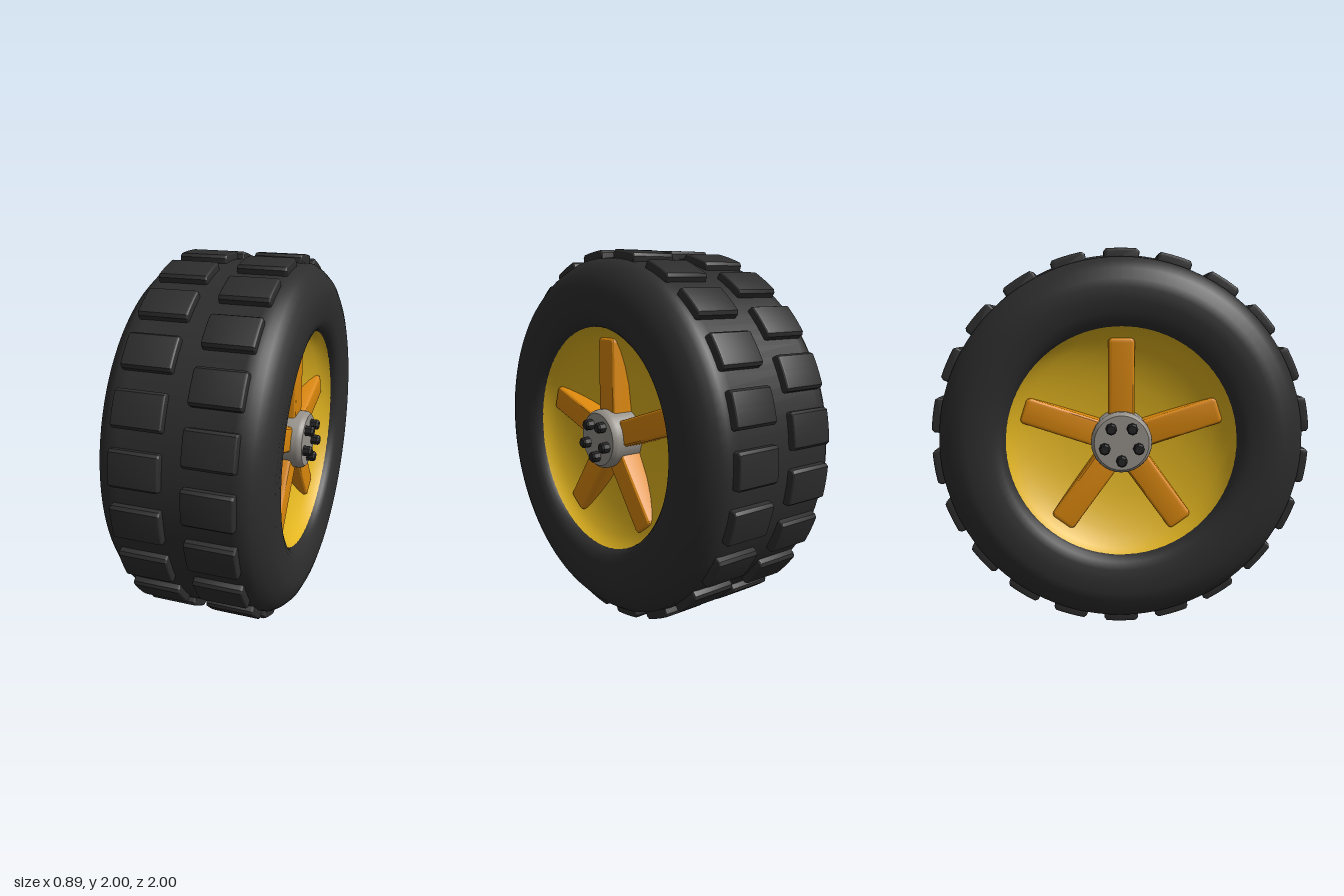
import * as THREE from 'three';
import { toCreasedNormals } from 'three/addons/utils/BufferGeometryUtils.js';

function makeMaterial(name, color) {
  const m = new THREE.MeshStandardMaterial({ color });
  m.name = name;
  return m;
}

const rubber = makeMaterial('black rubber', 0x2d2d2d);
const yellow = makeMaterial('yellow rim', 0xe2b520);
const orange = makeMaterial('orange spoke', 0xda870c);
const grey = makeMaterial('grey hub', 0x959089);
const dark = makeMaterial('dark bolt', 0x232323);

function addMesh(parent, geometry, material, name) {
  const mesh = new THREE.Mesh(geometry, material);
  mesh.name = name;
  parent.add(mesh);
  return mesh;
}

// Turned shape around the x axle; points are [radius, x]
function turned(points, segments) {
  const g = new THREE.LatheGeometry(points.map(p => new THREE.Vector2(p[0], p[1])), segments);
  return g.rotateZ(-Math.PI / 2);
}

// Extrusion with softened edges, centred along the depth
function softExtrude(shape, length, bevel) {
  const g = new THREE.ExtrudeGeometry(shape, {
    depth: length - 2 * bevel, bevelEnabled: true, bevelSize: bevel, bevelThickness: bevel,
    bevelOffset: -bevel, bevelSegments: 3, curveSegments: 8,
  });
  return toCreasedNormals(g.translate(0, 0, bevel - length / 2), 0.4).rotateY(Math.PI / 2);
}

// Tread block: a curved slab that follows the tire, with chamfered ends
function treadGeometry() {
  const mid = Math.PI / 2, a = 0.094, top = 1, shoulder = 0.986;
  const at = (r, t) => [r * Math.cos(mid + t), r * Math.sin(mid + t)];
  const shape = new THREE.Shape();
  shape.moveTo(...at(0.93, -a - 0.004));
  shape.lineTo(...at(shoulder, -a));
  shape.absarc(0, 0, top, mid - a + 0.014, mid + a - 0.014, false);
  shape.lineTo(...at(shoulder, a));
  shape.lineTo(...at(0.93, a + 0.004));
  shape.closePath();
  return softExtrude(shape, 0.26, 0.014);
}

// Spoke: a rounded bar pointing up, its back sunk into the dish
function spokeGeometry() {
  const w = 0.07, tip = 0.542, r = 0.024;
  const shape = new THREE.Shape();
  shape.moveTo(-w, 0.06);
  shape.lineTo(w, 0.06);
  shape.lineTo(w, tip - r);
  shape.absarc(w - r, tip - r, r, 0, Math.PI / 2, false);
  shape.absarc(r - w, tip - r, r, Math.PI / 2, Math.PI, false);
  shape.closePath();
  return softExtrude(shape, 0.14, 0.02).translate(0.262, 0, 0);
}

export function createModel() {
  const wheel = new THREE.Group();
  wheel.name = 'wheel';
  const assembly = new THREE.Group();
  assembly.name = 'wheelAssembly';
  assembly.position.y = 1;
  wheel.add(assembly);

  // Tire carcass, mirrored profile from lip to lip
  const half = [[0.6, 0.37], [0.608, 0.395], [0.63, 0.418], [0.67, 0.434], [0.73, 0.442],
    [0.795, 0.445], [0.84, 0.432], [0.893, 0.407], [0.93, 0.37], [0.953, 0.335], [0.96, 0.28]];
  const profile = [...half.map(([r, x]) => [r, -x]), ...half.slice().reverse()];
  addMesh(assembly, turned(profile, 96), rubber, 'tire');

  // Two staggered rows of tread blocks
  const count = 22;
  const treadGeo = treadGeometry();
  for (const side of [1, -1]) {
    for (let i = 0; i < count; i++) {
      const tread = addMesh(assembly, treadGeo, rubber, 'treadBlock');
      tread.position.x = side * 0.182;
      tread.rotation.x = (i + (side > 0 ? 0.5 : 0)) * Math.PI * 2 / count;
    }
  }

  const dishGeo = turned([[0.602, 0.375], [0.58, 0.343], [0.54, 0.313], [0.48, 0.282],
    [0.4, 0.254], [0.3, 0.23], [0.15, 0.212], [0, 0.206]], 72);
  const hubGeo = toCreasedNormals(turned([[0.16, 0.19], [0.16, 0.36], [0.156, 0.375],
    [0.143, 0.39], [0, 0.39]], 32), 0.6);
  const spokeGeo = spokeGeometry();
  const boltGeo = toCreasedNormals(turned([[0.03, 0.38], [0.03, 0.425], [0.022, 0.435], [0, 0.435]], 8), 0.6);

  // Both faces of the wheel carry the same rim
  for (const turn of [0, Math.PI]) {
    const face = new THREE.Group();
    face.name = turn ? 'rightRim' : 'leftRim';
    face.rotation.y = turn;
    assembly.add(face);
    addMesh(face, dishGeo, yellow, 'rimDish');
    addMesh(face, hubGeo, grey, 'hub');
    for (let i = 0; i < 5; i++) {
      const angle = i * Math.PI * 2 / 5;
      addMesh(face, spokeGeo, orange, 'spoke').rotation.x = angle;
      const bolt = addMesh(face, boltGeo, dark, 'bolt');
      bolt.position.set(0, -0.093 * Math.cos(angle), -0.093 * Math.sin(angle));
    }
  }
  return wheel;
}
